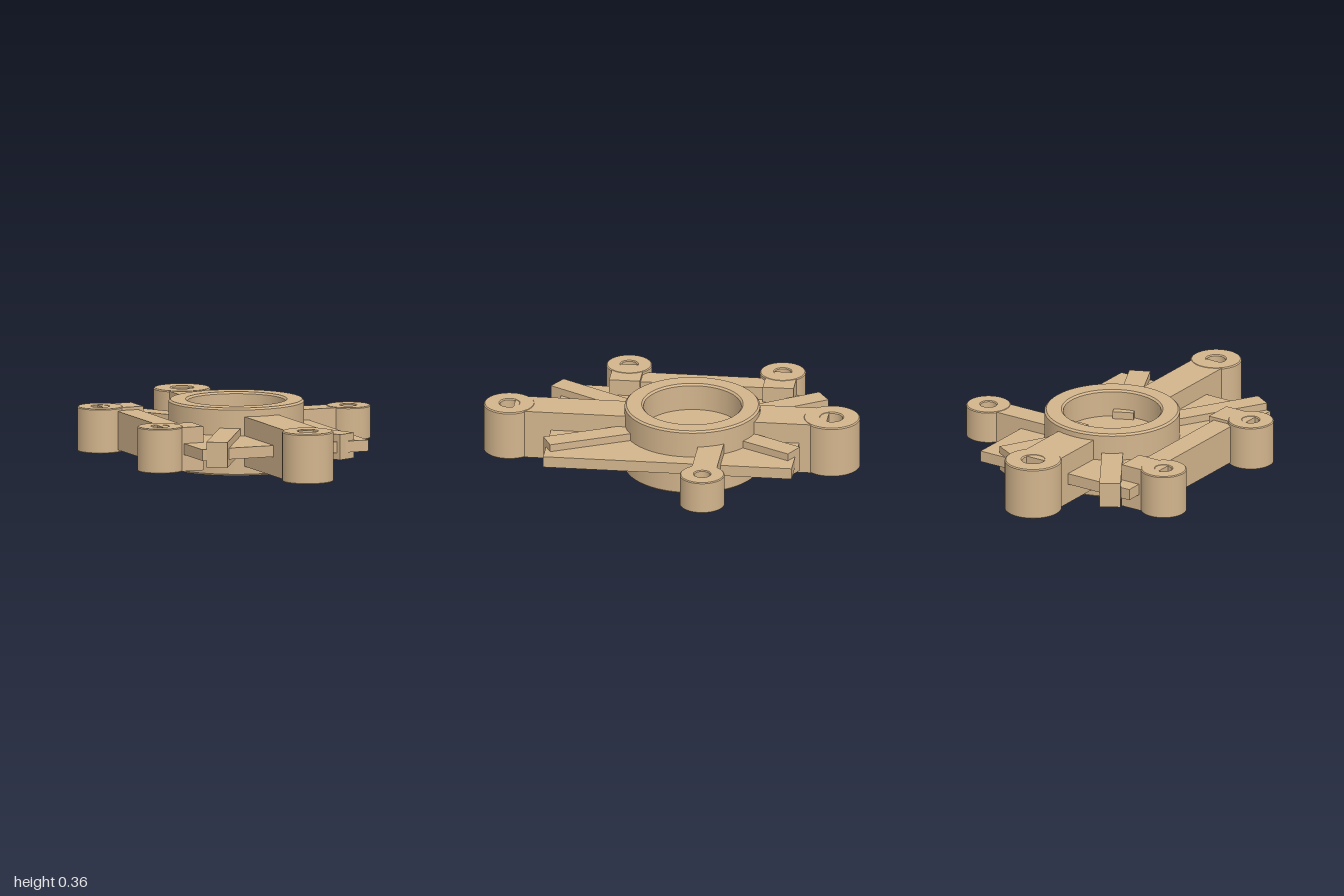
import * as THREE from 'three';
import { mergeGeometries } from 'three/addons/utils/BufferGeometryUtils.js';

const tan = new THREE.MeshStandardMaterial({ color: 0xd2b48c });
tan.name = 'tan';

export function createModel() {
  const model = new THREE.Group();
  model.name = 'bracket';

  const add = (name, geometry, x, y, z) => {
    const mesh = new THREE.Mesh(geometry, tan);
    mesh.name = name;
    mesh.position.set(x, y, z);
    model.add(mesh);
    return mesh;
  };

  // Box given by its limits on each axis
  const block = (name, x0, x1, y0, y1, z0, z1) =>
    add(name, new THREE.BoxGeometry(x1 - x0, y1 - y0, z1 - z0),
      (x0 + x1) / 2, (y0 + y1) / 2, (z0 + z1) / 2);

  // Chamfered hollow cylinder: each profile edge is lathed alone to stay sharp
  const tube = (name, x, z, outer, inner, y0, y1, c) => {
    const profile = [
      [inner + c, y0], [outer - c, y0], [outer, y0 + c], [outer, y1 - c],
      [outer - c, y1], [inner + c, y1], [inner, y1 - c], [inner, y0 + c],
    ].map(([r, y]) => new THREE.Vector2(r, y));
    const bands = profile.map((p, i) =>
      new THREE.LatheGeometry([p, profile[(i + 1) % profile.length]], 64));
    return add(name, mergeGeometries(bands), x, 0, z);
  };

  // Central ring and the thin plate running through it
  tube('centralRing', -0.045, -0.11, 0.358, 0.258, 0, 0.362, 0.01);
  block('basePlate', -0.55, 0.4, 0.155, 0.215, -0.69, 0.63);

  // Front and back lugs with arms reaching into their holes
  tube('frontLug', -0.045, 0.862, 0.135, 0.05, 0.05, 0.318, 0.006);
  block('frontArm', -0.143, 0.053, 0.052, 0.316, 0.19, 0.835);
  tube('backLug', -0.045, -0.85, 0.15, 0.058, 0.045, 0.326, 0.006);
  block('backArm', -0.158, 0.066, 0.047, 0.324, -0.83, -0.41);

  // Left lug, its arm ending inside the ring
  tube('leftLug', 0.652, -0.245, 0.118, 0.042, 0.098, 0.274, 0.005);
  block('leftArm', 0.06, 0.59, 0.1, 0.272, -0.312, -0.18);

  // Two right lugs joined by a beam
  for (const z of [-0.518, 0.298]) {
    tube('rightLug', -0.652, z, 0.121, 0.044, 0.065, 0.303, 0.005);
    block('rightArm', -0.65, -0.44, 0.067, 0.301, z - 0.082, z + 0.082);
  }
  block('rightBeam', -0.595, -0.47, 0.08, 0.285, -0.45, 0.23);

  // Diagonal ribs, from inner end to outer end
  const ribs = [
    [0.02, -0.26, 0.25, -0.685],
    [0.027, 0.097, 0.28, 0.625],
    [-0.225, -0.37, -0.472, -0.757],
    [-0.2, 0.18, -0.48, 0.66],
  ];
  for (const [x0, z0, x1, z1] of ribs) {
    const length = Math.hypot(x1 - x0, z1 - z0);
    const rib = add('diagonalRib', new THREE.BoxGeometry(0.112, 0.135, length),
      (x0 + x1) / 2, 0.187, (z0 + z1) / 2);
    rib.rotation.y = Math.atan2(x1 - x0, z1 - z0);
  }

  return model;
}
